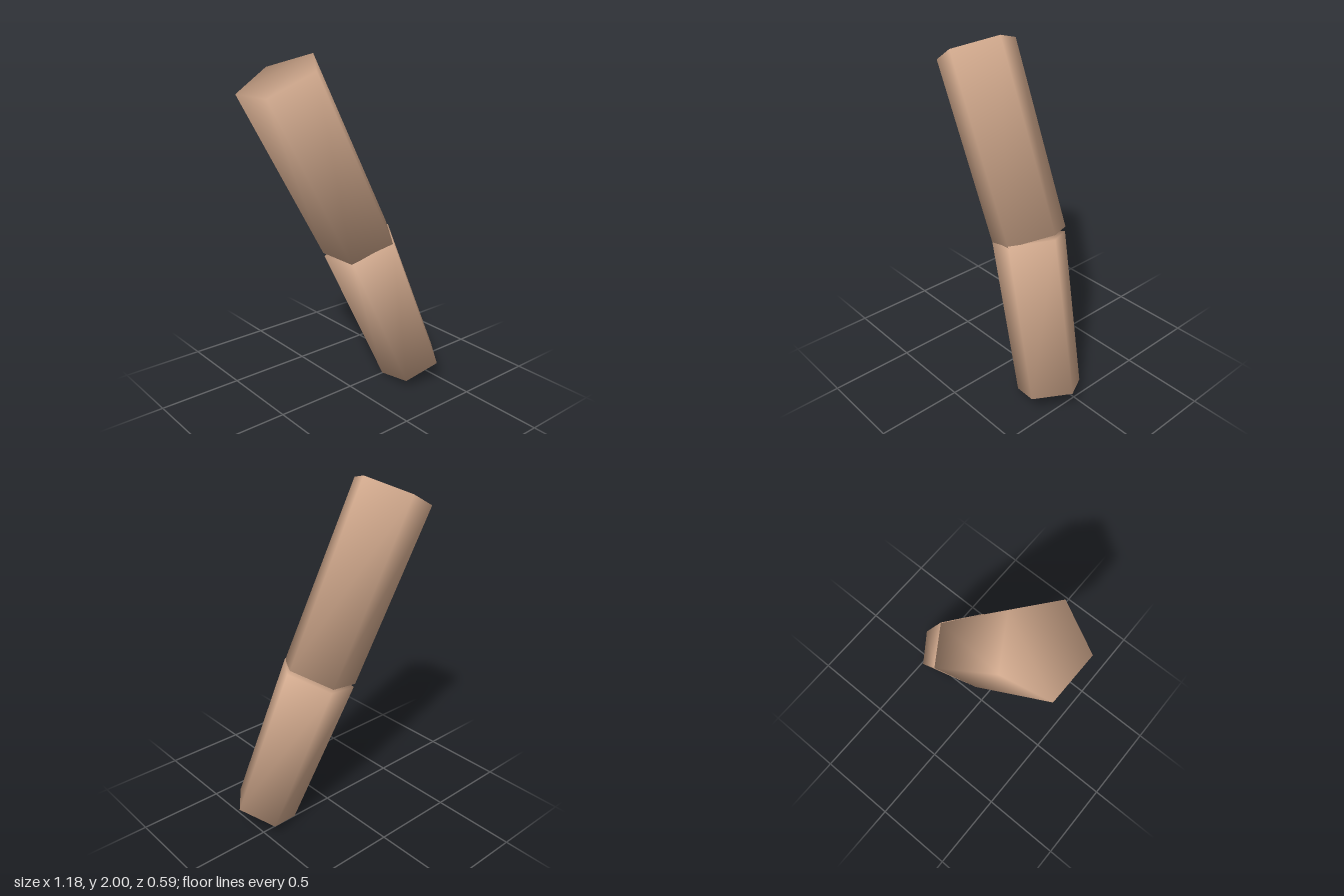
import * as THREE from 'three';

// Closed five-sided tapered limb between two rings, smooth over all corners.
// Rings run counter-clockwise seen from above.
function limbGeometry(top, bottom) {
  const n = top.length;
  const points = [...top, ...bottom].map((p) => new THREE.Vector3(...p));
  const index = [];
  for (let i = 0; i < n; i++) {
    const j = (i + 1) % n;
    index.push(n + i, n + j, j, n + i, j, i); // side wall
  }
  for (let i = 1; i < n - 1; i++) {
    index.push(0, i, i + 1); // upper cap
    index.push(n, n + i + 1, n + i); // lower cap
  }

  // Corner normals weighted by face angle, so the small caps round the ends.
  const normals = points.map(() => new THREE.Vector3());
  for (let t = 0; t < index.length; t += 3) {
    const tri = index.slice(t, t + 3);
    const [a, b, c] = tri.map((k) => points[k]);
    const face = new THREE.Triangle(a, b, c).getNormal(new THREE.Vector3());
    tri.forEach((k, s) => {
      const e1 = points[tri[(s + 1) % 3]].clone().sub(points[k]);
      const e2 = points[tri[(s + 2) % 3]].clone().sub(points[k]);
      normals[k].addScaledVector(face, e1.angleTo(e2));
    });
  }
  normals.forEach((v) => v.normalize());

  const geometry = new THREE.BufferGeometry();
  const flat = (list) => new THREE.Float32BufferAttribute(list.flatMap((v) => v.toArray()), 3);
  geometry.setAttribute('position', flat(points));
  geometry.setAttribute('normal', flat(normals));
  geometry.setIndex(index);
  return geometry;
}

export function createModel() {
  const group = new THREE.Group();
  group.name = 'bentLimb';
  const skin = new THREE.MeshStandardMaterial({ color: 0xd0a88c });
  skin.name = 'skin tan';

  // Rings: outer ridge, back outer, back inner, front inner, front outer
  const parts = {
    upperSegment: [
      [[-0.2, 2, -0.06], [-0.34, 1.92, -0.295], [-0.587, 1.805, -0.21], [-0.59, 1.81, 0.08], [-0.35, 1.935, 0.167]],
      [[0.29, 1.003, -0.02], [0.16, 0.925, -0.233], [-0.08, 0.845, -0.15], [-0.085, 0.85, 0.117], [0.15, 0.945, 0.2]],
    ],
    lowerSegment: [
      [[0.3, 0.98, -0.01], [0.165, 0.9, -0.225], [-0.075, 0.825, -0.145], [-0.08, 0.85, 0.12], [0.15, 0.955, 0.2]],
      [[0.587, 0.145, 0.107], [0.47, 0.07, -0.075], [0.265, 0, 0], [0.258, 0.04, 0.225], [0.45, 0.125, 0.293]],
    ],
  };
  for (const [name, [top, bottom]] of Object.entries(parts)) {
    const mesh = new THREE.Mesh(limbGeometry(top, bottom), skin);
    mesh.name = name;
    group.add(mesh);
  }
  return group;
}
